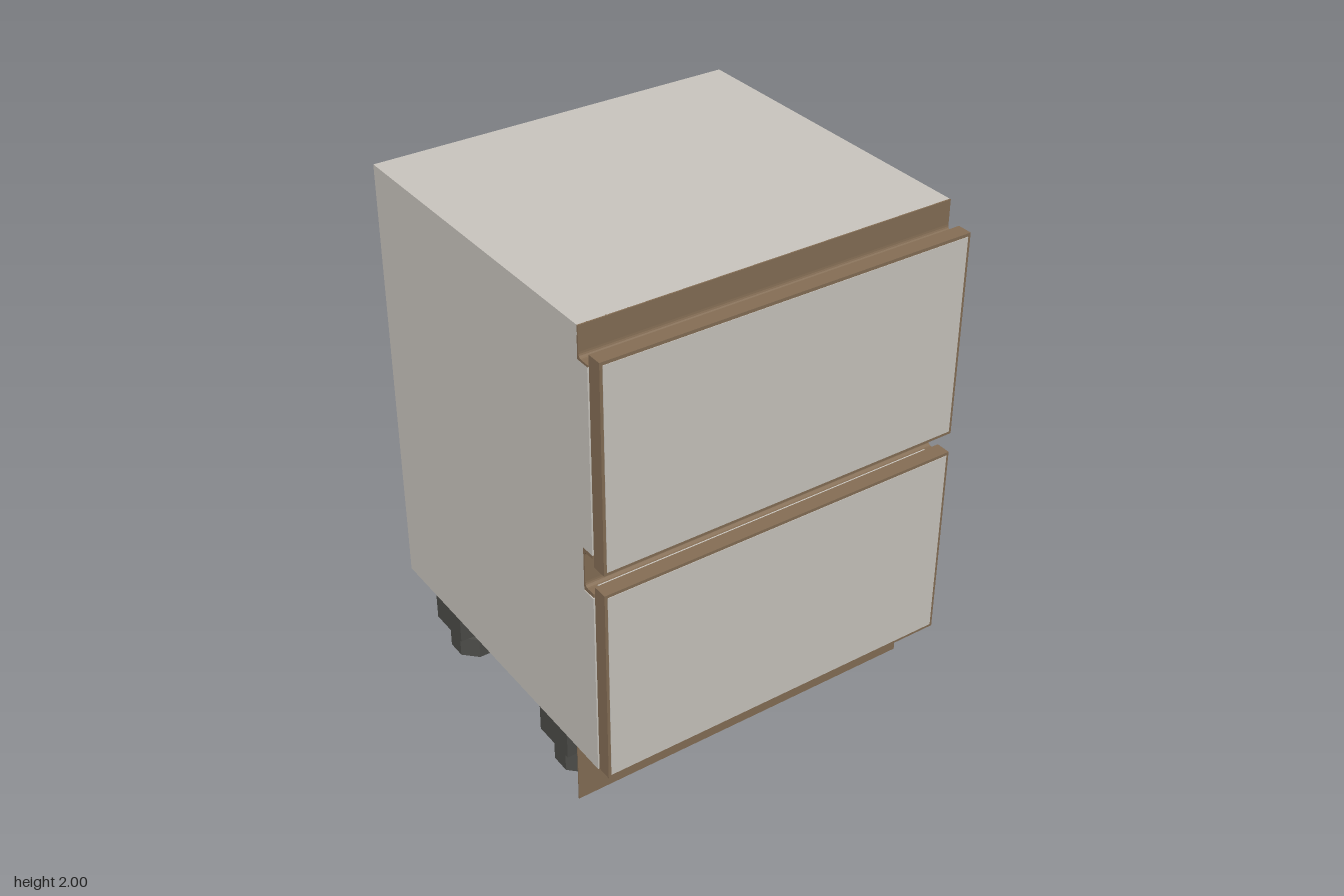
import * as THREE from 'three';

export function createModel() {
  const material = (name, color) => {
    const m = new THREE.MeshStandardMaterial({ color });
    m.name = name;
    return m;
  };
  const grey = material('warm grey board', 0xcbc7c0);
  const brown = material('bronze brown', 0x866f56);
  const dark = material('dark plastic', 0x4d4d49);

  const model = new THREE.Group();
  model.name = 'drawerCabinet';
  const W = 0.73, T = 0.035, BACK = -0.715, FRONT = 0.65;

  const add = (name, geometry, mat, parent = model) => {
    const mesh = new THREE.Mesh(geometry, mat);
    mesh.name = name;
    parent.add(mesh);
    return mesh;
  };
  // Box given by its limits on each axis
  const box = (name, mat, x0, x1, y0, y1, z0, z1, parent = model) => {
    const mesh = add(name, new THREE.BoxGeometry(x1 - x0, y1 - y0, z1 - z0), mat, parent);
    mesh.position.set((x0 + x1) / 2, (y0 + y1) / 2, (z0 + z1) / 2);
    return mesh;
  };
  // Extrude a (z, y) outline along x, from x0 to x1
  const extrudeX = (shape, x0, x1) => {
    const g = new THREE.ExtrudeGeometry(shape, { depth: x1 - x0, bevelEnabled: false, curveSegments: 5 });
    g.rotateY(-Math.PI / 2);
    g.translate(x1, 0, 0);
    return g;
  };
  const outline = (points) => new THREE.Shape(points.map(([z, y]) => new THREE.Vector2(z, y)));

  // Side panels, notched at the front for the grip channels
  const side = outline([
    [BACK, 0.25], [FRONT, 0.25], [FRONT, 1.0], [0.595, 1.0], [0.595, 1.175],
    [FRONT, 1.175], [FRONT, 1.88], [0.595, 1.88], [0.595, 1.965], [BACK, 1.965],
  ]);
  add('leftSide', extrudeX(side, W - T, W), grey);
  add('rightSide', extrudeX(side, -W, -W + T), grey);

  // Top, bottom and recessed back
  box('top', grey, -W, W, 1.965, 2, BACK, 0.597);
  box('bottom', grey, -W + T, W - T, 0.25, 0.25 + T, BACK, FRONT);
  box('backPanel', grey, -W + T, W - T, 0.25 + T, 1.965, -0.655, -0.635);

  // L-shaped grip channel under the top
  const topGrip = outline([[0.595, 2], [0.595, 1.88], [0.652, 1.88], [0.652, 1.888], [0.618, 1.888]]);
  topGrip.quadraticCurveTo(0.602, 1.888, 0.602, 1.908);
  topGrip.lineTo(0.602, 2);
  add('topGripChannel', extrudeX(topGrip, -W, W), brown);

  // C-shaped grip channel between the drawers
  const midGrip = outline([
    [0.595, 1.175], [0.595, 1.005], [0.652, 1.005], [0.652, 1.02], [0.618, 1.02],
  ]);
  midGrip.quadraticCurveTo(0.602, 1.02, 0.602, 1.04);
  midGrip.lineTo(0.602, 1.145);
  midGrip.quadraticCurveTo(0.602, 1.162, 0.618, 1.162);
  midGrip.lineTo(0.652, 1.162);
  midGrip.lineTo(0.652, 1.175);
  add('middleGripChannel', extrudeX(midGrip, -W, W), brown);

  // Pale strips lying in the channels
  for (const y of [1.02, 1.888]) box('channelStrip', grey, -0.695, 0.695, y, y + 0.003, 0.621, 0.65);

  // Drawer fronts: brown edging around a grey face
  for (const y of [0.255, 1.13]) {
    const drawer = new THREE.Group();
    drawer.name = y < 1 ? 'lowerDrawer' : 'upperDrawer';
    model.add(drawer);
    box('drawerEdging', brown, -0.727, 0.727, y, y + 0.795, 0.655, 0.713, drawer);
    box('drawerFace', grey, -0.716, 0.716, y + 0.012, y + 0.783, 0.712, 0.715, drawer);
  }

  // Thin plinth board
  box('plinth', brown, -W, W, 0, 0.25, 0.512, 0.516);

  // Adjustable feet: block, neck and octagonal pad
  const octagon = (r, h) => new THREE.CylinderGeometry(r, r, h, 8).rotateY(Math.PI / 8).toNonIndexed();
  const pad = octagon(0.1, 0.085), neck = octagon(0.045, 0.03);
  pad.computeVertexNormals();
  neck.computeVertexNormals();
  for (const x of [-0.6, 0.6]) for (const z of [0.327, -0.45]) {
    const leg = new THREE.Group();
    leg.name = 'leg';
    leg.position.set(x, 0, z);
    model.add(leg);
    box('legBlock', dark, -0.115, 0.115, 0.115, 0.25, -0.093, 0.093, leg);
    add('legNeck', neck, dark, leg).position.y = 0.1;
    add('legPad', pad, dark, leg).position.y = 0.0425;
  }
  return model;
}
